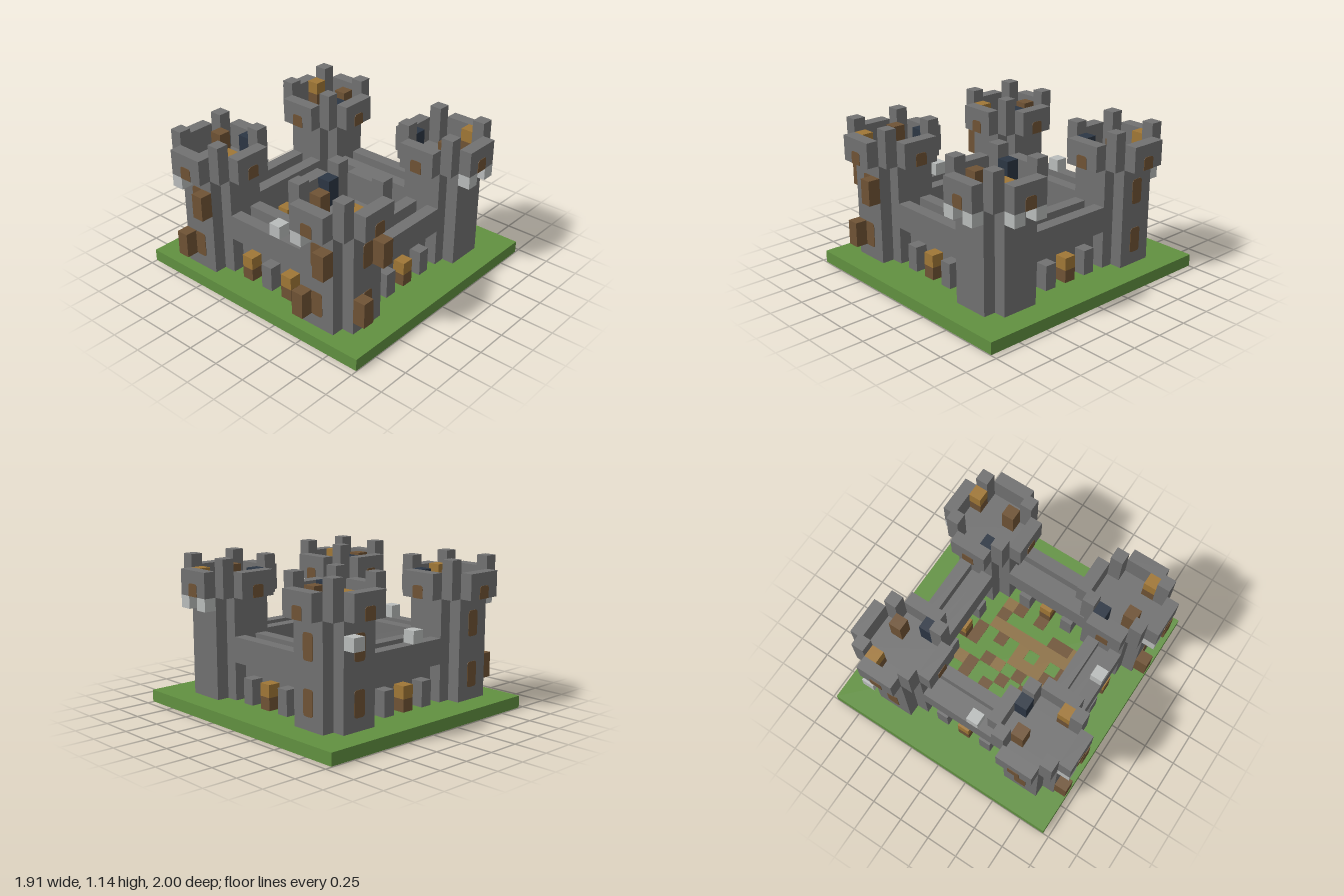
import * as THREE from 'three';

const U = 2 / 21; // one block
const mat = (name, color) => Object.assign(new THREE.MeshStandardMaterial({ color }), { name });

export function createModel() {
  const root = new THREE.Group();
  root.name = 'castle';
  const stone = mat('stone grey', 0x717171);
  const grass = mat('grass green', 0x619140);
  const wood = mat('wood brown', 0x6f5335);
  const path = mat('path tan', 0x8c7043);
  const lamp = mat('lamp amber', 0xa07736);
  const navy = mat('navy', 0x2c3644);
  const pale = mat('pale grey', 0xb9bcbb);

  // Box given by block ranges: x in 0..20, y up, z in 0..21
  const box = (parent, name, m, x0, x1, y0, y1, z0, z1) => {
    const mesh = new THREE.Mesh(new THREE.BoxGeometry((x1 - x0) * U, (y1 - y0) * U, (z1 - z0) * U), m);
    mesh.position.set(((x0 + x1) / 2 - 10) * U, (y0 + y1) / 2 * U, ((z0 + z1) / 2 - 10.5) * U);
    mesh.name = name;
    parent.add(mesh);
    return mesh;
  };
  const group = (name) => {
    const g = new THREE.Group();
    g.name = name;
    root.add(g);
    return g;
  };

  // Thin window plate with rounded corners, centred at (x, z), turned to face outward
  const plate = (parent, x, z, y0, y1, angle, openBottom) => {
    const w = 0.5 * U, h = (y1 - y0) * U, r = 0.25 * U, b = openBottom ? 0 : r;
    const s = new THREE.Shape();
    s.moveTo(-w + b, 0);
    s.lineTo(w - b, 0);
    s.quadraticCurveTo(w, 0, w, b);
    s.lineTo(w, h - r);
    s.quadraticCurveTo(w, h, w - r, h);
    s.lineTo(-w + r, h);
    s.quadraticCurveTo(-w, h, -w, h - r);
    s.lineTo(-w, b);
    s.quadraticCurveTo(-w, 0, -w + b, 0);
    const mesh = new THREE.Mesh(new THREE.ExtrudeGeometry(s, { depth: 0.004, bevelEnabled: false, curveSegments: 4 }), wood);
    mesh.position.set((x - 10) * U, y0 * U, (z - 10.5) * U);
    mesh.rotation.y = angle;
    mesh.name = 'window';
    parent.add(mesh);
  };

  // Ground
  box(root, 'ground', grass, 0, 20, 0.04, 1, 0, 21);

  // Courtyard paving: [x, z, length along x]
  const paving = group('courtyardPaving');
  const tiles = (m, list) => list.forEach(([x, z, n = 1]) =>
    box(paving, 'pavingTile', m, x, x + n, 0, 1.03, z, z + 1));
  tiles(wood, [[10, 6], [10, 7], [7, 7], [12, 7], [5, 8], [7, 8], [9, 8], [12, 8], [8, 9], [11, 9],
    [5, 10, 2], [13, 10], [5, 11], [11, 11], [13, 11], [6, 13, 2], [12, 13], [9, 14], [11, 14]]);
  tiles(path, [[13, 8], [6, 9], [10, 9], [7, 10, 3], [7, 11], [9, 11], [5, 12, 8], [5, 13], [12, 14]]);

  // Towers: centre, and outward sides that carry shaft windows
  const towers = [
    { name: 'frontLeftSideTower', c: [3.5, 16.5], sides: [[0, 1], [-1, 0]] },
    { name: 'frontRightSideTower', c: [15.5, 16.5], sides: [] },
    { name: 'backLeftSideTower', c: [3.5, 4.5], sides: [[0, -1], [-1, 0]] },
    { name: 'backRightSideTower', c: [15.5, 4.5], sides: [[0, -1], [1, 0]] },
  ];
  for (const { name, c: [x, z], sides } of towers) {
    const g = group(name);
    // Cross-shaped shaft
    box(g, 'shaft', stone, x - 2.5, x + 2.5, 0, 9, z - 1.5, z + 1.5);
    for (const s of [-1, 1]) {
      box(g, 'shaft', stone, x - 1.5, x + 1.5, 0, 9, z + s * 2 - 0.5, z + s * 2 + 0.5);
      // Overhanging parapets
      box(g, 'parapet', stone, x - 1.5, x + 1.5, 9, 11, z + s * 3 - 0.5, z + s * 3 + 0.5);
      box(g, 'parapet', stone, x + s * 3 - 0.5, x + s * 3 + 0.5, 9, 11, z - 1.5, z + 1.5);
      // Corner posts
      for (const t of [-1, 1]) {
        box(g, 'cornerPost', stone, x + s * 2 - 0.5, x + s * 2 + 0.5, 9, 12, z + t * 2 - 0.5, z + t * 2 + 0.5);
      }
    }
    for (const [dx, dz] of [[0, 1], [0, -1], [1, 0], [-1, 0]]) {
      plate(g, x + dx * 3.5, z + dz * 3.5, 9, 10, Math.atan2(dx, dz), true);
    }
    for (const [dx, dz] of sides) {
      for (const y of [2, 6]) plate(g, x + dx * 2.5, z + dz * 2.5, y, y + 2, Math.atan2(dx, dz), false);
    }
  }

  // Barrels, lamps and chests on the tower tops
  const stores = group('towerTopStores');
  for (const [x, z] of [[4, 3], [16, 5], [2, 15], [14, 17]]) box(stores, 'barrel', wood, x, x + 1, 9, 11, z, z + 1);
  for (const [x, z] of [[5, 5], [14, 6], [4, 14], [14, 14]]) box(stores, 'chest', navy, x, x + 1, 9, 11, z, z + 1);
  for (const [x, z] of [[2, 6], [16, 2], [2, 18], [17, 17]]) {
    box(stores, 'lampPost', wood, x, x + 1, 9, 10, z, z + 1);
    box(stores, 'lamp', lamp, x, x + 1, 10, 11, z, z + 1);
  }

  // Shutters hung beside the windows
  const shutters = group('shutters');
  for (const [x, y, z] of [[4, 6, 19], [2, 2, 19], [0, 2, 3], [0, 6, 5], [0, 2, 15], [0, 6, 17]]) {
    box(shutters, 'shutter', wood, x, x + 1, y, y + 2, z, z + 1);
  }

  // Pale blocks under the parapets and on the walls
  const blocks = group('paleBlocks');
  for (const [x, y, z] of [[14, 8, 19], [16, 8, 19], [18, 8, 17], [18, 8, 15], [0, 8, 3], [0, 8, 15],
    [16, 7, 1], [8, 6, 3], [2, 6, 11]]) {
    box(blocks, 'paleBlock', pale, x, x + 1, y, y + 1, z, z + 1);
  }

  // Walls: thin core, overhanging parapets, pillars and lamps below
  const wall = (name, alongX, a, start, end, mid, outer, lampsAtEnds) => {
    const g = group(name);
    const put = (n, m, p0, p1, y0, y1, q) => alongX
      ? box(g, n, m, p0, p1, y0, y1, q, q + 1)
      : box(g, n, m, q, q + 1, y0, y1, p0, p1);
    put('wallCore', stone, start, end, 0, 5, a);
    for (const s of [-1, 1]) {
      put('wallParapet', stone, start, end, 4, 6, a + s);
      for (const d of [-2, 0, 2]) {
        const p = mid + d;
        const lit = lampsAtEnds && s === outer ? d !== 0 : d === 0;
        if (lit) {
          put('lampPost', wood, p, p + 1, 0, 2, a + s);
          put('lamp', lamp, p, p + 1, 2, 3, a + s);
        } else put('pillar', stone, p, p + 1, 0, 3, a + s);
      }
    }
  };
  wall('frontWall', true, 16, 6, 13, 9, 1, false);
  wall('backWall', true, 4, 6, 13, 9, -1, false);
  wall('leftSideWall', false, 3, 7, 14, 10, -1, true);
  wall('rightSideWall', false, 15, 7, 14, 10, 1, false);

  return root;
}
